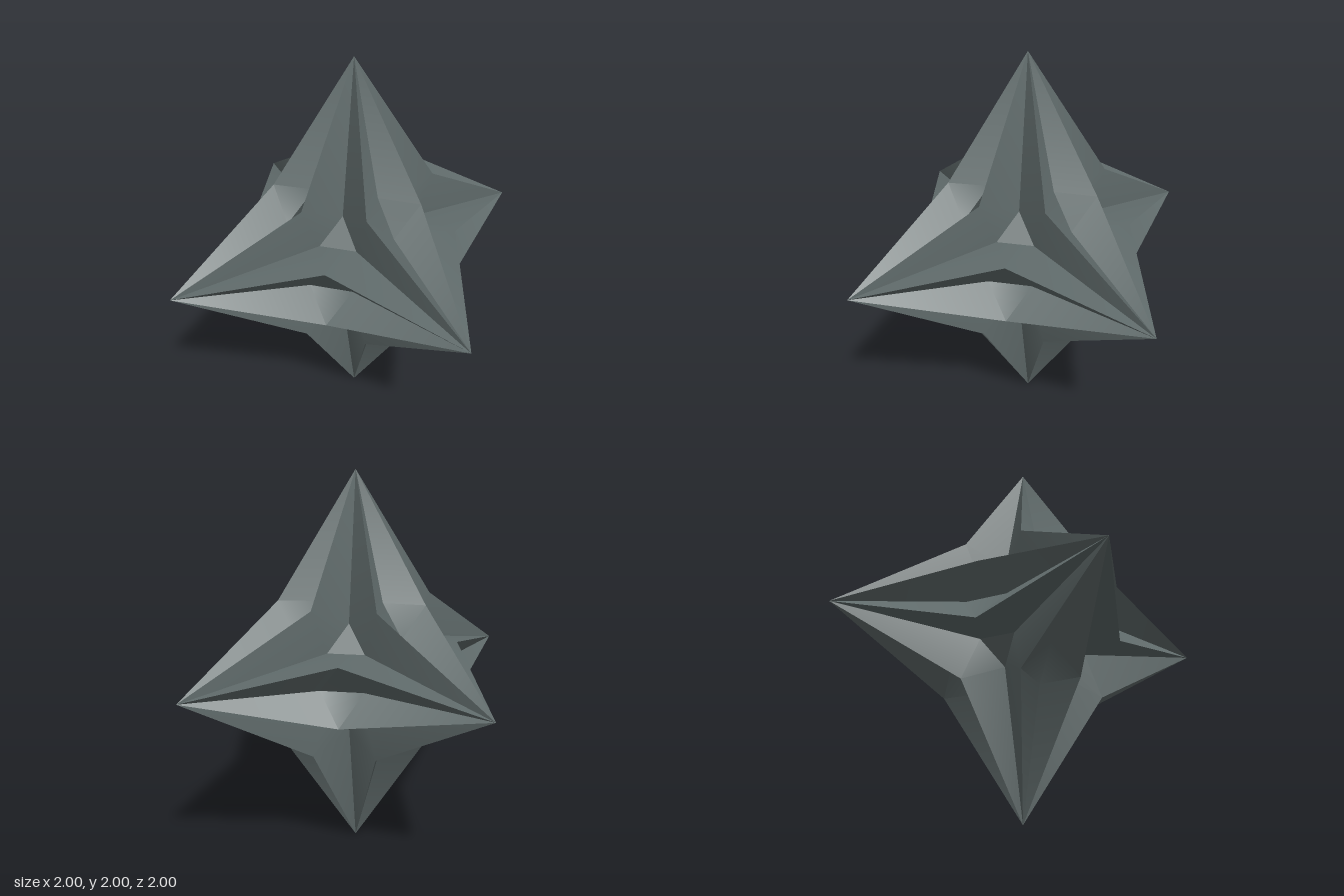
import * as THREE from 'three';
import { toCreasedNormals } from 'three/addons/utils/BufferGeometryUtils.js';

const steel = new THREE.MeshStandardMaterial({ color: 0x606b6b });
steel.name = 'grey steel';

// Key points of one blade half, lying between the +x and +z spikes, upper side
const X = [1, 0, 0], Z = [0, 0, 1];        // spike tips
const R = [0.37, 0.15, 0.37];              // rim corner in the notch
const V1 = [0.375, 0, 0.225], V2 = [0.225, 0, 0.375]; // bottom of the rim groove
const PX = [0.28, 0.15, 0.15], PY = [0.15, 0.28, 0.15], PZ = [0.15, 0.15, 0.28]; // core facet

// Repeats triangles over the three axes (cyclic turns) and the eight octants (mirroring)
function symmetric(triangles, turns) {
  const positions = [];
  for (let turn = 0; turn < turns; turn++) {
    for (let octant = 0; octant < 8; octant++) {
      const sign = [0, 1, 2].map((bit) => ((octant >> bit) & 1 ? -1 : 1));
      const mirrored = sign[0] * sign[1] * sign[2] < 0;
      for (const [a, b, c] of triangles) {
        for (const p of mirrored ? [a, c, b] : [a, b, c]) {
          for (let i = 0; i < 3; i++) positions.push(p[(i + turn) % 3] * sign[i]);
        }
      }
    }
  }
  const geometry = new THREE.BufferGeometry();
  geometry.setAttribute('position', new THREE.Float32BufferAttribute(positions, 3));
  return toCreasedNormals(geometry, 0.55);
}

export function createModel() {
  const star = new THREE.Group();
  star.name = 'sixPointedStar';

  const add = (name, triangles, turns) => {
    const mesh = new THREE.Mesh(symmetric(triangles, turns), steel);
    mesh.name = name;
    mesh.position.y = 1;
    star.add(mesh);
  };

  // Flat sides of the crossing blades
  add('bladeSides', [[X, PX, R], [R, PX, PZ], [Z, R, PZ]], 3);
  // V-shaped grooves along the blade rims
  add('rimGrooves', [[X, R, V1], [V1, R, V2], [V2, R, Z]], 3);
  // Small triangles where three blades meet
  add('coreFacets', [[PX, PY, PZ]], 1);

  return star;
}
